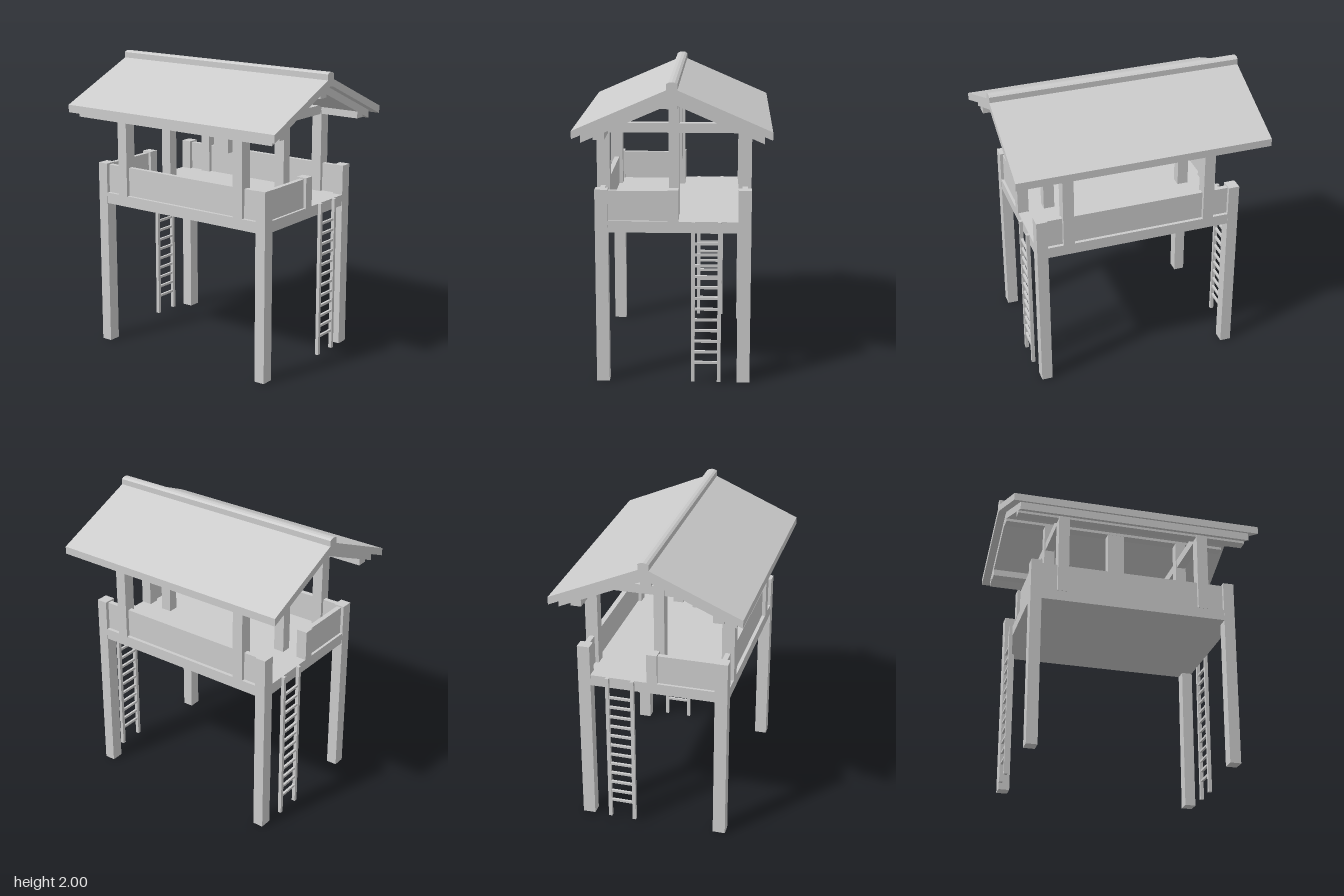
import * as THREE from 'three';

export function createModel() {
  const model = new THREE.Group();
  const material = new THREE.MeshStandardMaterial({ color: 0xcccccc, flatShading: true });

  const add = (name, geometry, parent = model) => {
    const mesh = new THREE.Mesh(geometry, material);
    mesh.name = name;
    parent.add(mesh);
    return mesh;
  };
  // Box given by its lower and upper limits on each axis
  const box = (name, x0, x1, y0, y1, z0, z1, parent) =>
    add(name, new THREE.BoxGeometry(x1 - x0, y1 - y0, z1 - z0), parent)
      .position.set((x0 + x1) / 2, (y0 + y1) / 2, (z0 + z1) / 2);
  // Symmetric gable profile (half outline as [z, y] from ridge to ridge), extruded along x
  const gable = (name, half, halfLength) => {
    const mirrored = half.filter(p => p[0] > 0).map(([z, y]) => [-z, y]).reverse();
    const shape = new THREE.Shape([...half, ...mirrored].map(p => new THREE.Vector2(...p)));
    const geometry = new THREE.ExtrudeGeometry(shape, { depth: halfLength * 2, bevelEnabled: false });
    geometry.translate(0, 0, -halfLength).rotateY(Math.PI / 2);
    add(name, geometry);
  };

  // Platform
  box('floor', -0.7, 0.7, 1.01, 1.085, -0.5, 0.5);

  // Legs, roof posts and long railings on the front and back
  for (const s of [-1, 1]) {
    const z = s * 0.46;
    for (const t of [-1, 1]) {
      const leg = t * 0.665, post = t * 0.485;
      box('cornerLeg', leg - 0.037, leg + 0.037, 0, 1.29, z - 0.042, z + 0.042);
      box('roofPost', post - 0.037, post + 0.037, 1.08, 1.66, z - 0.042, z + 0.042);
    }
    box('longRailing', -0.63, 0.63, 1.08, 1.28, z - 0.017, z + 0.017);
    box('eavePlate', -0.8, 0.8, 1.628, 1.68, z - 0.035, z + 0.035);
  }

  // End frames, half railings and ladders on both ends
  for (const t of [-1, 1]) {
    const end = t * 0.665, frame = t * 0.485, lx = t * 0.71;
    box('railingPost', end - 0.037, end + 0.037, 1.08, 1.29, -0.035, 0.035);
    box('endRailing', end - 0.017, end + 0.017, 1.08, 1.28, 0.035, 0.42);
    box('ridgePost', frame - 0.037, frame + 0.037, 1.08, 1.86, -0.035, 0.035);
    box('tieBeam', frame - 0.03, frame + 0.03, 1.628, 1.69, -0.46, 0.46);

    const ladder = new THREE.Group();
    ladder.name = 'ladder';
    model.add(ladder);
    for (const z of [-0.13, -0.3])
      box('ladderStile', lx - 0.012, lx + 0.012, 0.01, 1.085, z - 0.012, z + 0.012, ladder);
    for (let i = 0; i < 12; i++) {
      const y = 0.14 + i * 0.073;
      box('ladderRung', lx - 0.008, lx + 0.008, y - 0.008, y + 0.008, -0.29, -0.14, ladder);
    }
  }

  // Ridge beam and short hanging post in the middle
  box('ridgeBeam', -0.8, 0.8, 1.825, 1.87, -0.035, 0.035);
  box('hangingPost', -0.06, 0.06, 1.37, 1.86, -0.034, 0.034);

  // Two-layer gable roof with ridge cap
  gable('roofUnderlayer',
    [[0, 1.915], [0.575, 1.664], [0.575, 1.61], [0.035, 1.845], [0, 1.85]], 0.8);
  gable('roofCovering',
    [[0, 1.965], [0.625, 1.694], [0.625, 1.642], [0.03, 1.902], [0, 1.908]], 0.853);
  gable('ridgeCap',
    [[0, 2], [0.02, 1.997], [0.035, 1.988], [0.035, 1.93], [0, 1.93]], 0.853);

  return model;
}
